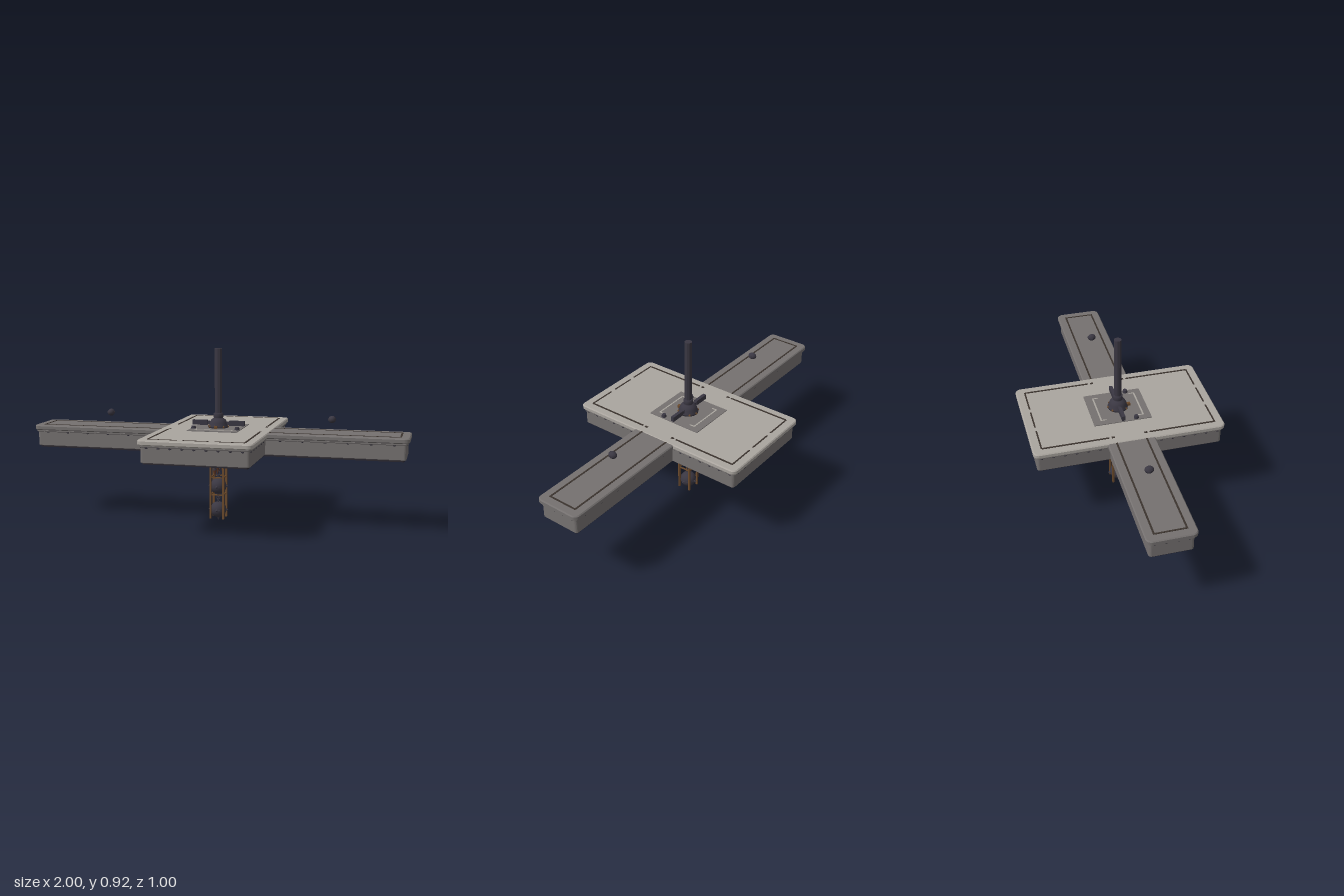
import * as THREE from 'three';

const mat = (name, color) => Object.assign(new THREE.MeshStandardMaterial({ color }), { name });

export function createModel() {
  const root = new THREE.Group();
  root.name = 'crossPlatform';
  const paleStone = mat('paleStone', 0xaaa59f);
  const darkStone = mat('darkStone', 0x757170);
  const iron = mat('iron', 0x3a3742);
  const underside = mat('underside', 0x2b2830);
  const bronze = mat('bronze', 0x6b4a2c);
  const rust = mat('rust', 0x5c3626);
  const groove = mat('groove', 0x3b332e);

  const add = (name, geo, m, x = 0, y = 0, z = 0, parent = root) => {
    const mesh = new THREE.Mesh(geo, m);
    mesh.name = name;
    mesh.position.set(x, y, z);
    parent.add(mesh);
    return mesh;
  };
  const box = (name, w, h, d, m, x, y, z, p) => add(name, new THREE.BoxGeometry(w, h, d), m, x, y, z, p);
  const cyl = (name, rt, rb, h, m, x, y, z, p, n = 12) =>
    add(name, new THREE.CylinderGeometry(rt, rb, h, n), m, x, y, z, p);

  // Horizontal slab with rounded corners and a small bevel
  const slab = (name, w, d, r, y0, y1, bevel, m) => {
    const a = w / 2 - bevel, b = d / 2 - bevel, s = new THREE.Shape();
    s.moveTo(-a + r, -b);
    s.lineTo(a - r, -b); s.absarc(a - r, -b + r, r, -Math.PI / 2, 0);
    s.lineTo(a, b - r); s.absarc(a - r, b - r, r, 0, Math.PI / 2);
    s.lineTo(-a + r, b); s.absarc(-a + r, b - r, r, Math.PI / 2, Math.PI);
    s.lineTo(-a, -b + r); s.absarc(-a + r, -b + r, r, Math.PI, Math.PI * 1.5);
    const geo = new THREE.ExtrudeGeometry(s, {
      depth: y1 - y0 - 2 * bevel, bevelEnabled: bevel > 0, bevelSize: bevel,
      bevelThickness: bevel, bevelSegments: 1, curveSegments: 4,
    });
    geo.rotateX(-Math.PI / 2);
    return add(name, geo, m, 0, y0 + bevel, 0);
  };

  // Crossed decks: base plate, wall, moulding and rim
  const deck = (name, w, d, top, rimMat) => {
    const lift = top - 0.5;
    slab(name + 'Base', w - 0.05, d - 0.05, 0.01, 0.378 + lift / 2, 0.39, 0, underside);
    slab(name + 'Wall', w - 0.032, d - 0.032, 0.012, 0.385, 0.468 + lift, 0.003, darkStone);
    slab(name + 'Moulding', w - 0.016, d - 0.016, 0.02, 0.464 + lift, 0.476 + lift, 0.003, darkStone);
    slab(name + 'Rim', w, d, 0.025, 0.474 + lift, top, 0.005, rimMat);
  };
  deck('armDeck', 2, 0.248, 0.497, darkStone);
  deck('mainDeck', 0.58, 1, 0.5, paleStone);

  // Grooves inlaid in the deck tops
  const strip = (x, z, w, d, y, m = groove, name = 'deckGroove') => box(name, w, 0.003, d, m, x, y, z);
  for (const s of [-1, 1]) {
    for (const t of [-1, 1]) {
      strip(s * 0.243, t * 0.278, 0.01, 0.345, 0.5);
      strip(s * 0.243, t * 0.085, 0.012, 0.016, 0.5);
      strip(s * 0.17, t * 0.453, 0.15, 0.008, 0.5);
      strip(s * 0.622, t * 0.078, 0.67, 0.009, 0.497);
    }
    strip(0, s * 0.453, 0.13, 0.008, 0.5);
    strip(s * 0.953, 0, 0.009, 0.156, 0.497);
  }

  // Rivets below the rims
  const rivetGeo = new THREE.SphereGeometry(0.008, 8, 6);
  const rivet = (x, z, alongX) => {
    const r = add('rivet', rivetGeo, iron, x, 0.461, z);
    r.scale.set(alongX ? 1 : 0.5, 0.65, alongX ? 0.5 : 1);
  };
  for (const s of [-1, 1]) {
    for (let i = -4; i <= 4; i++) rivet(i * 0.06, s * 0.485, true);
    for (let i = 0; i < 6; i++) for (const t of [-1, 1]) {
      rivet(s * 0.275, t * (0.16 + i * 0.06), false);
      rivet(s * (0.35 + i * 0.115), t * 0.109, true);
    }
    for (let i = -1.5; i <= 1.5; i++) rivet(s * 0.985, i * 0.055, false);
  }

  // Square plate with pale corner brackets around the mast
  box('mastPlate', 0.264, 0.005, 0.306, darkStone, 0, 0.501, -0.003);
  for (const t of [-1, 1]) {
    strip(0, t * 0.112, 0.2, 0.008, 0.5035, paleStone, 'plateBracket');
    for (const s of [-1, 1]) strip(s * 0.097, t * 0.1, 0.007, 0.03, 0.5035, paleStone, 'plateBracket');
  }

  // Mast: domed foot, collar and faceted pole
  const foot = [[0, 0.503], [0.053, 0.503], [0.053, 0.512], [0.048, 0.516], [0.046, 0.53], [0.038, 0.545],
    [0.026, 0.553], [0.022, 0.555], [0.026, 0.558], [0.026, 0.577], [0.02, 0.582], [0, 0.582]];
  add('mastFoot', new THREE.LatheGeometry(foot.map(p => new THREE.Vector2(...p)), 20), iron);
  const pole = cyl('mastPole', 0.0195, 0.0195, 0.36, iron, 0, 0.74, 0, root, 10);
  pole.geometry = pole.geometry.toNonIndexed();
  pole.geometry.computeVertexNormals();
  for (let i = 0; i < 8; i++) {
    const a = i * Math.PI / 4;
    add('footBolt', new THREE.SphereGeometry(0.006, 6, 5), bronze, Math.cos(a) * 0.052, 0.51, Math.sin(a) * 0.052);
  }
  box('footLatch', 0.016, 0.014, 0.018, bronze, 0, 0.511, 0.058);

  // Crossbar with heavier ends, and two studs
  box('crossbar', 0.28, 0.016, 0.014, iron, 0, 0.527, -0.003);
  for (const s of [-1, 1]) {
    box('crossbarEnd', 0.08, 0.026, 0.018, iron, s * 0.1, 0.527, -0.003);
    cyl('plateStud', 0.011, 0.014, 0.016, iron, s * 0.117, 0.51, 0.07);
    const knob = add('armKnob', new THREE.SphereGeometry(0.019, 10, 8), iron, s * 0.6, 0.565, 0);
    knob.scale.set(1, 1, 1.25);
    cyl('armKnobBand', 0.02, 0.02, 0.01, iron, s * 0.6, 0.565, 0);
  }

  // Hanging cage: four rails and square rungs
  const cage = new THREE.Group();
  cage.name = 'hangingCage';
  root.add(cage);
  for (const s of [-1, 1]) {
    for (const t of [-1, 1]) box('cageRail', 0.01, 0.365, 0.01, bronze, s * 0.035, 0.1975, t * 0.034, cage);
    for (const y of [0.145, 0.238, 0.3, 0.345]) {
      box('cageRung', 0.07, 0.006, 0.006, bronze, 0, y, s * 0.034, cage);
      box('cageRung', 0.006, 0.006, 0.068, bronze, s * 0.035, y, 0, cage);
    }
  }

  // Chain of alternating links
  const linkGeo = new THREE.TorusGeometry(0.009, 0.0035, 6, 12);
  const linkHeights = [0.125, 0.11, 0.139];
  for (let y = 0.238; y < 0.38; y += 0.0165) linkHeights.push(y);
  linkHeights.forEach((y, i) => {
    const link = add('chainLink', linkGeo, iron, 0, y, 0);
    link.scale.y = 1.25;
    link.rotation.y = (i % 2) * Math.PI / 2;
  });

  // Spiked iron balls
  const up = new THREE.Vector3(0, 1, 0);
  for (const y of [0.188, 0.06]) {
    const ball = new THREE.Group();
    ball.name = 'spikedBall';
    ball.position.y = y;
    root.add(ball);
    add('ballCore', new THREE.SphereGeometry(0.043, 16, 12), iron, 0, 0, 0, ball);
    cyl('ballBand', 0.0445, 0.0445, 0.008, iron, 0, 0, 0, ball, 16);
    for (const d of [[1, 0, 0], [-1, 0, 0], [0, 0, 1], [0, 0, -1], [0, -1, 0]]) {
      const dir = new THREE.Vector3(...d);
      const spike = add('ballSpike', new THREE.ConeGeometry(0.009, 0.02, 8), iron, 0, 0, 0, ball);
      spike.position.copy(dir).multiplyScalar(d[1] ? 0.05 : 0.047);
      spike.quaternion.setFromUnitVectors(up, dir);
    }
  }

  // Hanging spears joined by a cross beam
  box('spearBeam', 0.014, 0.014, 0.21, iron, 0, 0.323, 0);
  for (const s of [-1, 1]) {
    cyl('spearShaft', 0.008, 0.008, 0.1, iron, 0, 0.335, s * 0.078);
    cyl('spearTip', 0.011, 0.001, 0.033, rust, 0, 0.272, s * 0.078, root, 8);
    cyl('spearSocket', 0.01, 0.011, 0.008, iron, 0, 0.291, s * 0.078);
    cyl('innerSpearShaft', 0.005, 0.005, 0.09, iron, 0, 0.335, s * 0.02);
    cyl('innerSpearTip', 0.008, 0.001, 0.036, rust, 0, 0.272, s * 0.02, root, 8);
  }
  return root;
}
